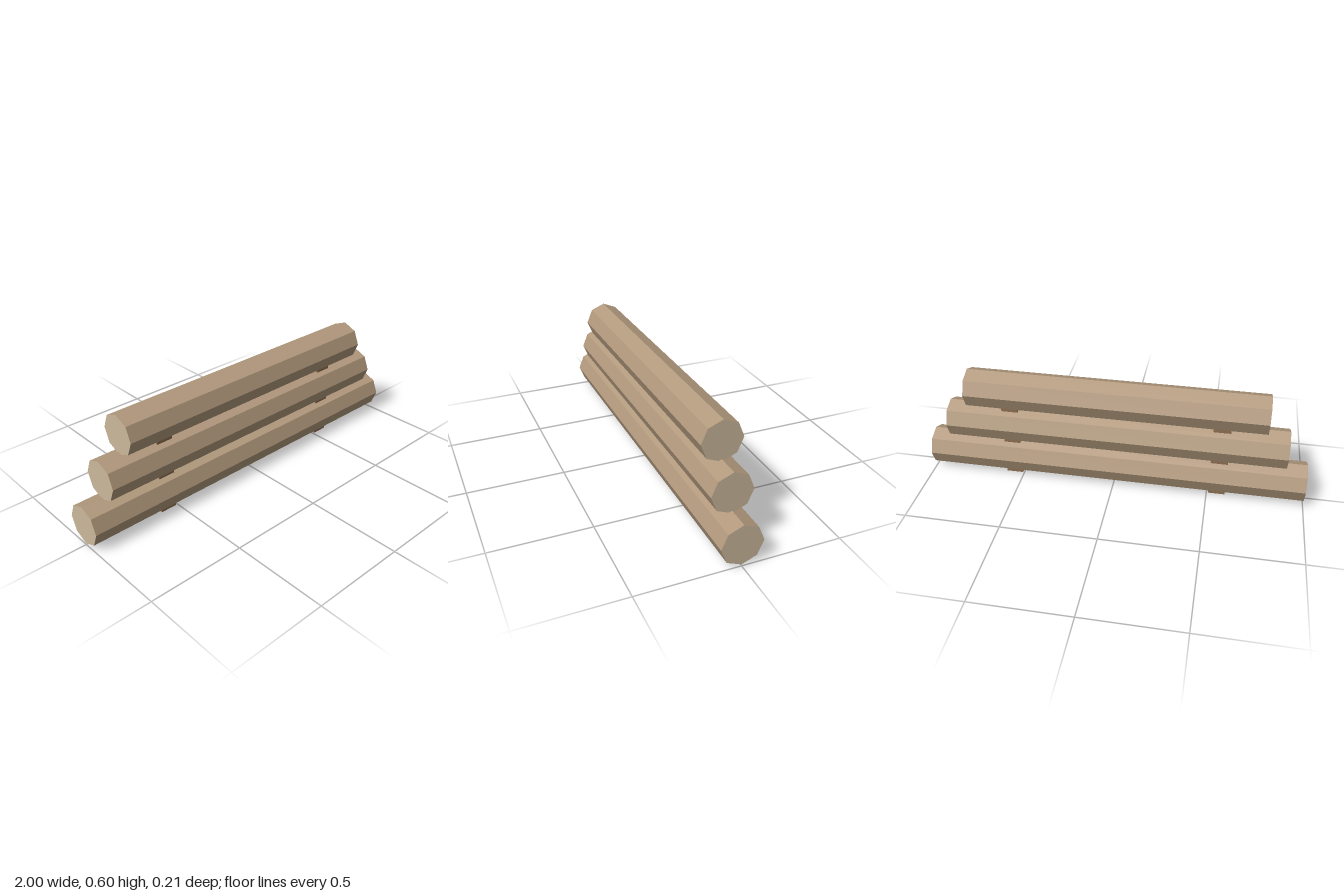
import * as THREE from 'three';

const RADIUS = 0.103;
const PITCH = 0.1935;
const HALF_LENGTHS = [1, 0.89, 0.777];

const paint = (color) => new THREE.MeshStandardMaterial({ color, flatShading: true });

export function createModel() {
  const model = new THREE.Group();
  model.name = 'logStack';

  const bark = paint(0xb39a7e);
  const cutWood = paint(0xcbb99c);
  const spacerWood = paint(0x8f7050);

  HALF_LENGTHS.forEach((half, i) => {
    const base = i * PITCH;

    // Octagonal log lying along x, a corner pointing up, with pale cut ends
    const logGeometry = new THREE.CylinderGeometry(RADIUS, RADIUS, half * 2, 8);
    logGeometry.rotateZ(-Math.PI / 2);
    const log = new THREE.Mesh(logGeometry, [bark, cutWood, cutWood]);
    log.name = `log${i + 1}`;
    log.position.y = base + 0.008 + RADIUS;
    model.add(log);

    // Pair of small spacer blocks under each log
    for (const side of [-1, 1]) {
      const spacer = new THREE.Mesh(new THREE.BoxGeometry(0.088, 0.03, 0.088), spacerWood);
      spacer.name = `${side > 0 ? 'left' : 'right'}Spacer${i + 1}`;
      spacer.position.set(side * 0.553, base + 0.015, 0);
      model.add(spacer);
    }
  });

  return model;
}
